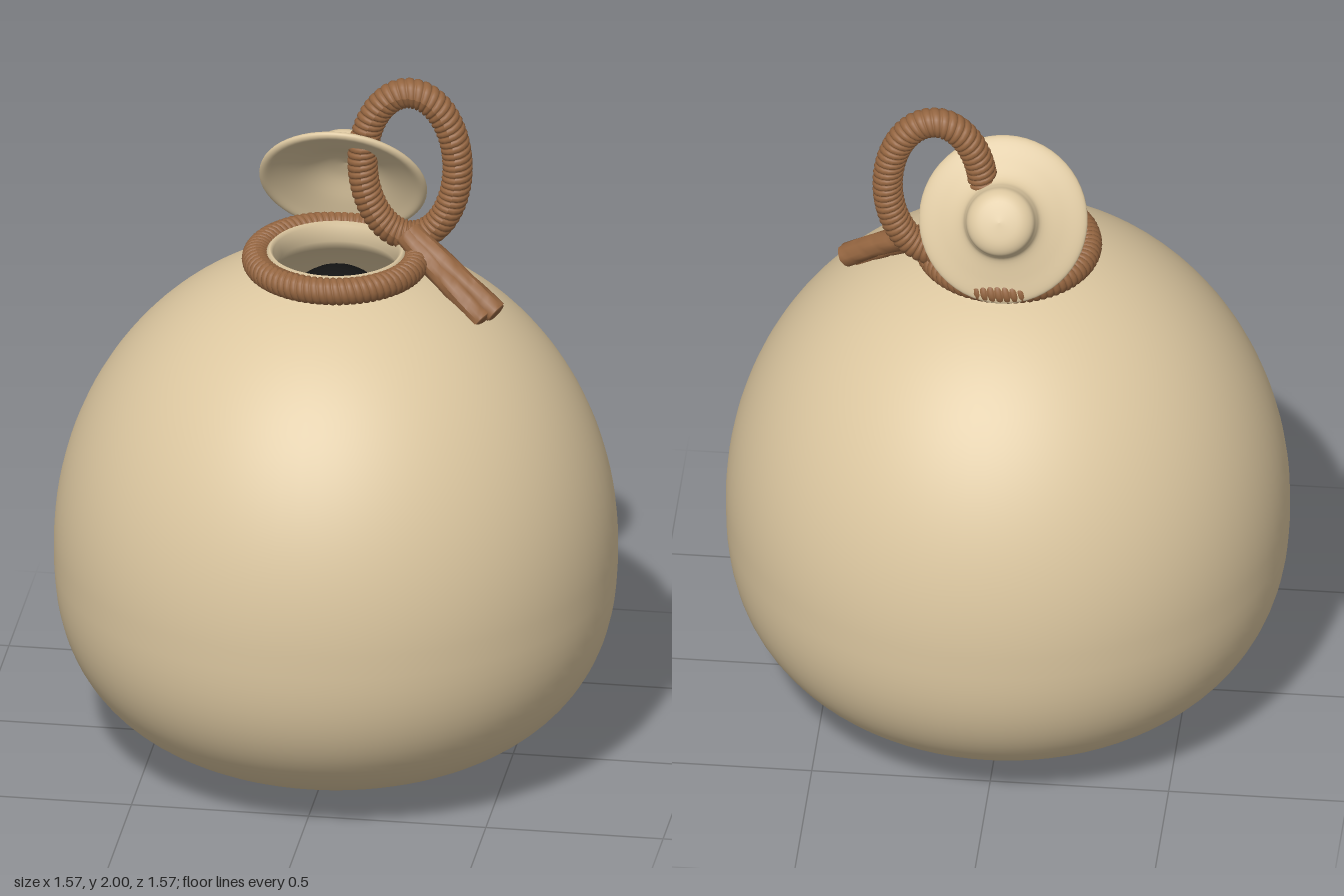
import * as THREE from 'three';

const clay = new THREE.MeshStandardMaterial({ color: 0xdcc7a0, side: THREE.DoubleSide });
const ropeBrown = new THREE.MeshStandardMaterial({ color: 0x946540 });
const dark = new THREE.MeshStandardMaterial({ color: 0x141414 });
const white = new THREE.MeshStandardMaterial({ color: 0xe8e8e8 });
const V = (x, y, z) => new THREE.Vector3(x, y, z);

function part(name, geometry, material, parent) {
  const mesh = new THREE.Mesh(geometry, material);
  mesh.name = name;
  parent.add(mesh);
  return mesh;
}

// Smooth lathe through a few profile points [radius, height]
function turned(points, divisions, segments) {
  const curve = new THREE.SplineCurve(points.map(([r, y]) => new THREE.Vector2(r, y)));
  const profile = curve.getPoints(divisions);
  profile.forEach(p => { p.x = Math.max(p.x, 0); });
  return new THREE.LatheGeometry(profile, segments);
}

// Tube with twisted grooves: strands around the section, turns along the length
function rope(curve, radius, strands, turns, steps, closed) {
  const sides = 16;
  const g = new THREE.TubeGeometry(curve, steps, radius, sides, closed);
  const pos = g.attributes.position, p = V(0, 0, 0);
  for (let i = 0; i <= steps; i++) {
    const c = curve.getPointAt(i / steps);
    for (let j = 0; j <= sides; j++) {
      const k = i * (sides + 1) + j;
      const phase = Math.PI * (strands * j / sides + turns * i / steps);
      p.fromBufferAttribute(pos, k).sub(c);
      p.multiplyScalar(0.87 + 0.13 * Math.sqrt(Math.abs(Math.sin(phase)))).add(c);
      pos.setXYZ(k, p.x, p.y, p.z);
    }
  }
  g.computeVertexNormals();
  return g;
}

function ellipse(center, a, b) {
  const pts = [];
  for (let i = 0; i < 32; i++) {
    const t = i / 32 * Math.PI * 2;
    pts.push(center.clone().addScaledVector(a, Math.cos(t)).addScaledVector(b, Math.sin(t)));
  }
  return new THREE.CatmullRomCurve3(pts, true);
}

// Pot wall: flattened base, rounded belly, rolled lip and inner wall
function potGeometry() {
  const pts = [];
  for (let i = 0; i <= 28; i++) {
    const t = i / 28 * Math.PI / 2;
    pts.push(new THREE.Vector2(0.787 * Math.sin(t) ** (2 / 2.6), 0.62 - 0.62 * Math.cos(t) ** (2 / 2.6)));
  }
  for (let i = 1; i <= 28; i++) {
    const t = i / 28 * 1.285;
    pts.push(new THREE.Vector2(0.787 * Math.cos(t), 0.62 + 0.872 * Math.sin(t)));
  }
  const lip = [[0.2, 1.475], [0.195, 1.505], [0.185, 1.515], [0.175, 1.505], [0.168, 1.46], [0.185, 1.43]];
  lip.forEach(([r, y]) => pts.push(new THREE.Vector2(r, y)));
  for (let i = 0; i <= 20; i++) {
    const t = 1.22 - i / 20 * 2.75;
    pts.push(new THREE.Vector2(Math.max(0, 0.73 * Math.cos(t)), 0.62 + (t > 0 ? 0.83 : 0.57) * Math.sin(t)));
  }
  return new THREE.LatheGeometry(pts, 80);
}

export function createModel() {
  const model = new THREE.Group();
  model.name = 'clayPot';
  part('pot', potGeometry(), clay, model);

  // Open lid leaning back, with a domed knob
  const lid = part('lid', turned([
    [0, 0.065], [0.06, 0.055], [0.13, 0.025], [0.19, 0.003], [0.222, -0.008], [0.236, 0],
    [0.225, 0.014], [0.17, 0.035], [0.115, 0.06], [0.1, 0.085], [0.09, 0.115], [0.06, 0.134], [0, 0.142],
  ], 60, 56), clay, model);
  lid.position.set(0, 1.66, -0.13);
  lid.rotation.x = -1.03;

  // Rope around the neck and the loop tied to it
  part('neckRope', rope(ellipse(V(0, 1.485, 0), V(0.224, 0, 0), V(0, 0, 0.224)), 0.039, 2, 76, 608, true), ropeBrown, model);
  part('ropeLoop', rope(ellipse(V(0.193, 1.74, -0.103), V(0.134, 0, 0), V(0, 0.218, 0)), 0.043, 2, 60, 480, true), ropeBrown, model);

  // Two loose rope ends resting on the shoulder
  const ends = [
    [V(0.2, 1.545, -0.07), V(0.32, 1.475, 0), V(0.46, 1.375, 0.055)],
    [V(0.19, 1.54, -0.06), V(0.3, 1.46, 0.015), V(0.425, 1.36, 0.075)],
  ];
  ends.forEach((pts, i) => {
    const curve = new THREE.CatmullRomCurve3(pts);
    part('ropeEnd' + (i + 1), rope(curve, 0.034, 6, 2, 32, false), ropeBrown, model);
    [0, 1].forEach(t => {
      const cap = part('ropeEndCap', new THREE.SphereGeometry(0.03, 14, 8), ropeBrown, model);
      cap.position.copy(curve.getPointAt(t));
      cap.scale.z = 0.2;
      cap.quaternion.setFromUnitVectors(V(0, 0, 1), curve.getTangentAt(t));
    });
  });

  // Dark creature hiding inside the mouth
  const creature = new THREE.Group();
  creature.name = 'creature';
  model.add(creature);
  part('head', new THREE.SphereGeometry(0.155, 32, 20), dark, creature).position.set(0, 1.29, -0.02);
  for (const s of [-1, 1]) {
    part('eye', new THREE.SphereGeometry(0.03, 18, 12), white, creature).position.set(s * 0.058, 1.31, 0.115);
    part('pupil', new THREE.SphereGeometry(0.016, 14, 10), dark, creature).position.set(s * 0.055, 1.322, 0.132);
  }
  return model;
}
